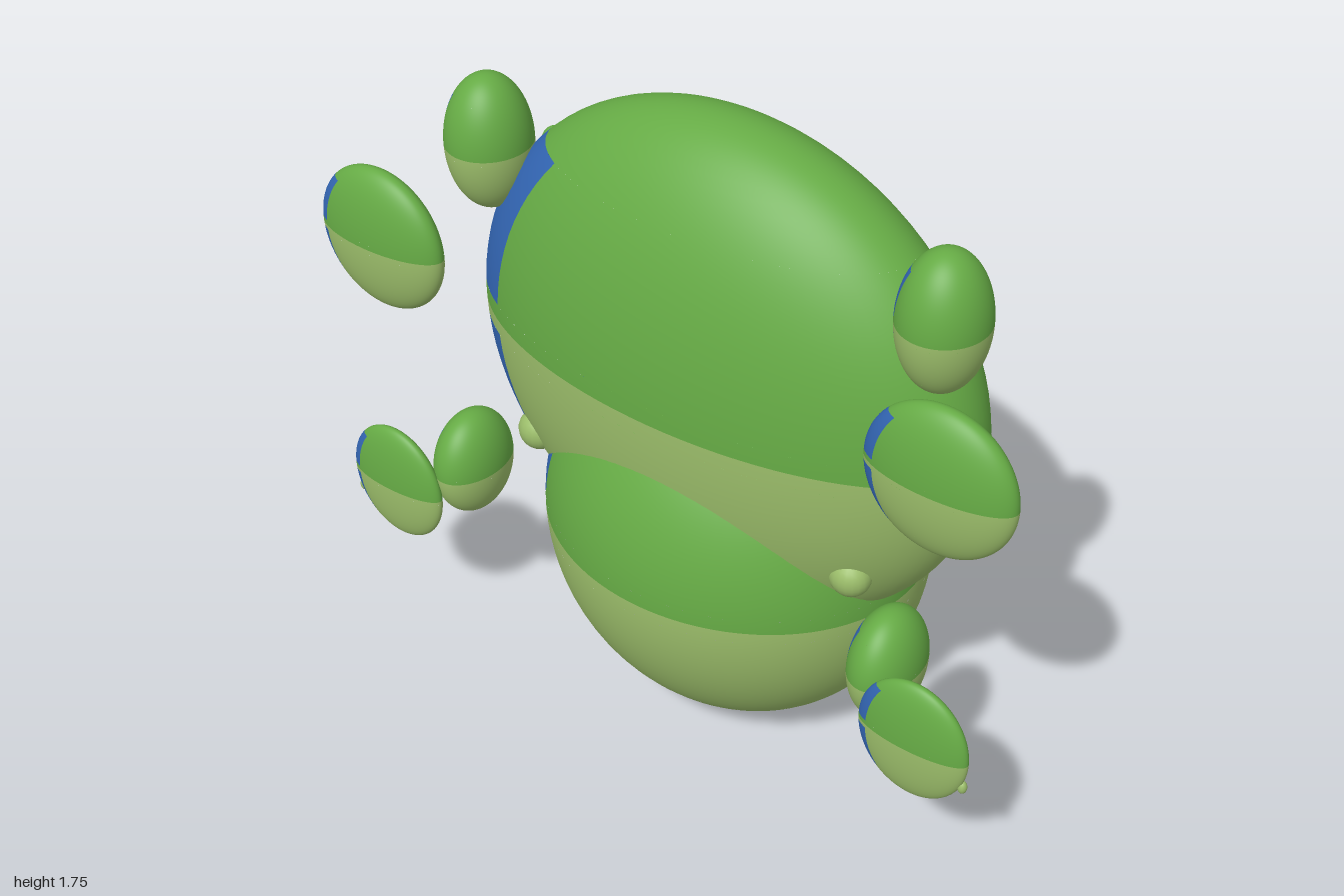
import * as THREE from 'three';
import { mergeGeometries } from 'three/addons/utils/BufferGeometryUtils.js';

const mat = (name, color, side = THREE.FrontSide) => {
  const m = new THREE.MeshStandardMaterial({ color, side });
  m.name = name;
  return m;
};
const rad = THREE.MathUtils.degToRad;

export function createModel() {
  const green = mat('leaf green', 0x66ab45);
  const light = mat('pale green', 0x9bbd6a);
  const blue = mat('blue', 0x3366b4);
  const red = mat('red', 0xe2574a, THREE.DoubleSide);
  const white = mat('off white', 0xdddddd, THREE.DoubleSide);
  const model = new THREE.Group();

  const add = (parent, name, geometry, material) => {
    const mesh = new THREE.Mesh(geometry, material);
    mesh.name = name;
    parent.add(mesh);
    return mesh;
  };

  // Patch of an ellipsoid between two longitudes and two latitudes (degrees)
  const patch = (r, p0, p1, t0, t1) =>
    new THREE.SphereGeometry(1, Math.ceil((p1 - p0) / 4), Math.max(2, Math.ceil((t1 - t0) / 4)),
      rad(p0), rad(p1 - p0), rad(t0), rad(t1 - t0)).scale(...r);

  // Two-tone ellipsoid with two blue panels facing the model's right
  const lobe = (name, pos, r) => {
    const group = new THREE.Group();
    group.name = name;
    group.position.set(...pos);
    const A = -18, B = 39, C = 342;
    add(group, 'upperHalf', mergeGeometries([
      patch(r, A, C, 0, 45), patch(r, B, C, 45, 86), patch(r, A, C, 86, 90)]), green);
    add(group, 'lowerHalf', mergeGeometries([
      patch(r, A, C, 90, 93.5), patch(r, B, C, 93.5, 135), patch(r, A, C, 135, 180)]), light);
    add(group, 'sidePanels', mergeGeometries([
      patch(r, A, B, 45, 86), patch(r, A, B, 93.5, 135)]), blue);
    model.add(group);
  };

  const bump = (name, pos, r, material) =>
    add(model, name, new THREE.SphereGeometry(1, 20, 14).scale(...r), material).position.set(...pos);

  // Body
  const belly = { pos: [0, 0.565, -0.005], r: [0.53, 0.56, 0.448] };
  lobe('upperBody', [0, 1.07, 0.04], [0.725, 0.69, 0.322]);
  lobe('lowerBody', belly.pos, belly.r);

  // Limbs and small joints on both sides
  for (const [side, s] of [['left', 1], ['right', -1]]) {
    lobe(side + 'UpperArm', [s * 0.652, 1.51, 0.13], [0.109, 0.182, 0.115]);
    lobe(side + 'Hand', [s * 0.807, 1.293, 0.37], [0.192, 0.196, 0.067]);
    lobe(side + 'Thigh', [s * 0.65, 0.615, 0.285], [0.086, 0.153, 0.125]);
    lobe(side + 'Foot', [s * 0.806, 0.55, 0.413], [0.149, 0.173, 0.042]);
    bump(side + 'HipJoint', [s * 0.485, 0.74, 0.205], [0.055, 0.055, 0.05], light);
    bump(side + 'ShoulderJoint', [s * 0.58, 1.455, -0.03], [0.035, 0.04, 0.035], green);
    bump(side + 'Toe', [s * 0.943, 0.472, 0.41], [0.012, 0.018, 0.012], light);
  }

  // Point on a rear patch sphere; longitude 0 faces back, positive towards +x
  const onSphere = (R, lon, lat) => [
    R * Math.sin(rad(lon)) * Math.cos(rad(lat)),
    R * Math.sin(rad(lat)),
    -R * Math.cos(rad(lon)) * Math.cos(rad(lat))];

  // Row of triangular teeth, each [lon, lat] based and pointed by tipLat
  const teeth = (R, from, to, count, baseLat, tipLat) => {
    const points = [], step = (to - from) / count;
    for (let i = 0; i < count; i++) {
      const a = from + i * step;
      points.push(...onSphere(R, a + step, baseLat), ...onSphere(R, a, baseLat),
        ...onSphere(R, a + step / 2, tipLat));
    }
    return points;
  };

  // Sideways arrowheads pointing towards +x
  const arrows = (R, lons, lat0, lat1) => lons.flatMap((a) => [
    ...onSphere(R, a, lat0), ...onSphere(R, a, lat1), ...onSphere(R, a + 18, (lat0 + lat1) / 2)]);

  // Red marks on the back
  for (const [side, s] of [['left', 1], ['right', -1]]) {
    const R = 0.145;
    const block = [];
    for (let a = 42; a < 82; a += 10) {
      const p = [[a, -11], [a + 10, -11], [a + 10, 17], [a, 17]].map((q) => onSphere(R, ...q));
      block.push(...p[0], ...p[2], ...p[1], ...p[0], ...p[3], ...p[2]);
    }
    const points = [
      ...teeth(R, -60, 75, 5, 58, 74),
      ...teeth(R, -65, 80, 7, -46, -58),
      ...arrows(R, [-58, -30, -5, 22], -12, 3),
      ...arrows(R, [-20, 8, 24], 2, 16),
      ...block];
    const g = new THREE.BufferGeometry();
    g.setAttribute('position', new THREE.Float32BufferAttribute(points, 3));
    g.computeVertexNormals();
    add(model, side + 'BackMark', g, red).position.set(s * 0.255, 0.475, -0.32);
  }

  // Pale oval spot low on the left flank, laid on the body surface
  const spot = new THREE.RingGeometry(0, 1, 32, 5);
  const p = spot.attributes.position;
  for (let i = 0; i < p.count; i++) {
    const y = 0.14 + 0.034 * p.getY(i) - belly.pos[1];
    const z = -0.047 - 0.08 * p.getX(i) - belly.pos[2];
    const x = belly.r[0] * Math.sqrt(1 - (y / belly.r[1]) ** 2 - (z / belly.r[2]) ** 2);
    p.setXYZ(i, x + 0.003, y + belly.pos[1] - 0.004, z + belly.pos[2]);
  }
  spot.computeVertexNormals();
  add(model, 'flankSpot', spot, white);

  return model;
}
